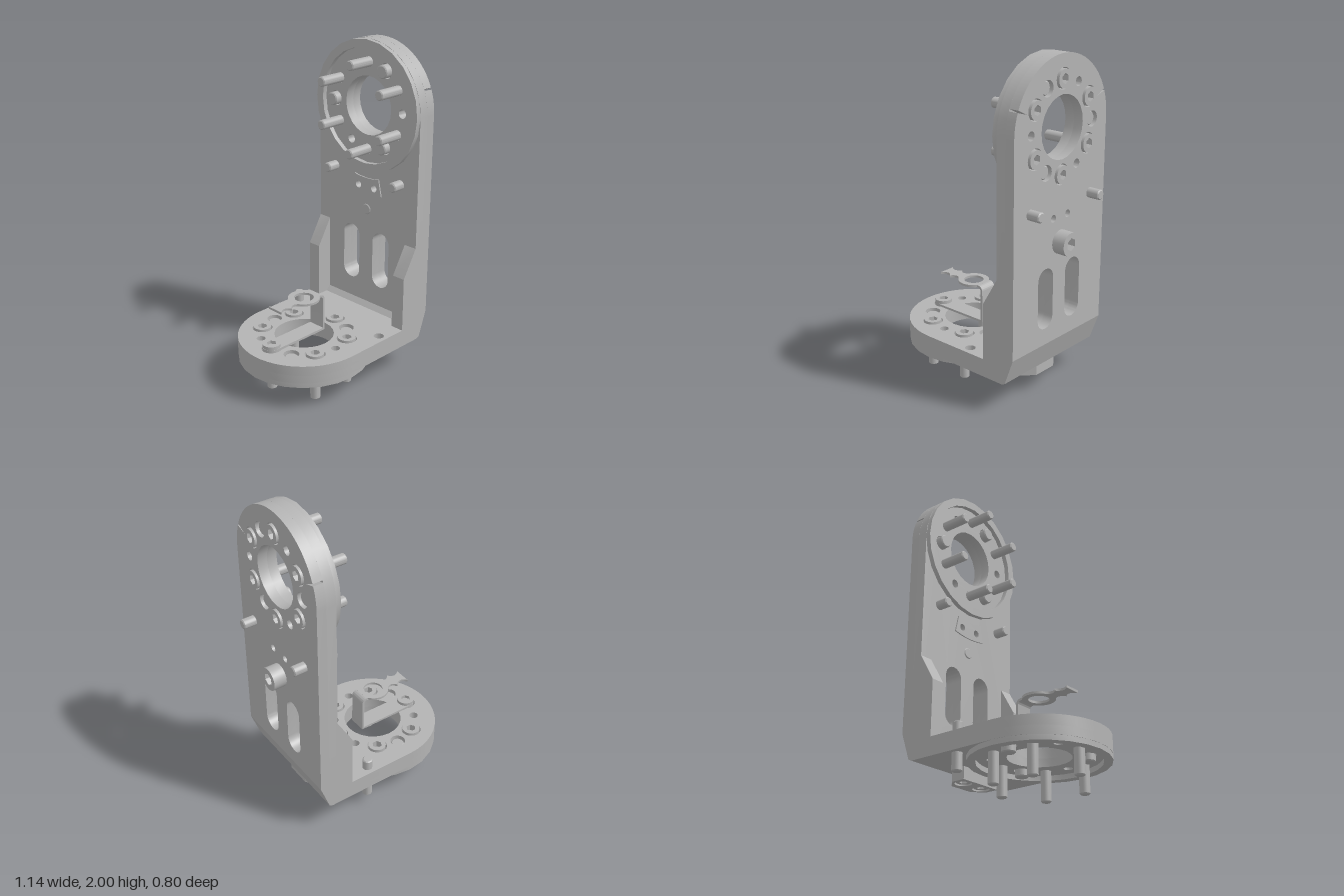
import * as THREE from 'three';
import { toCreasedNormals } from 'three/addons/utils/BufferGeometryUtils.js';

const steel = new THREE.MeshStandardMaterial({ color: 0xb3b3b3 });
steel.name = 'machinedGrey';

const CIRCLE_R = 0.265; // bolt circle
const polar = (deg, r = CIRCLE_R) => [r * Math.cos(deg * Math.PI / 180), r * Math.sin(deg * Math.PI / 180)];

function add(parent, name, geometry) {
  const mesh = new THREE.Mesh(geometry, steel);
  mesh.name = name;
  parent.add(mesh);
  return mesh;
}

// Extrude a shape from z0 to z1 with sharp edges kept
function slab(shape, z0, z1) {
  const g = new THREE.ExtrudeGeometry(shape, { depth: z1 - z0, bevelEnabled: false, curveSegments: 12 });
  g.translate(0, 0, z0);
  return toCreasedNormals(g, 0.5);
}

const polygon = (pts) => new THREE.Shape(pts.map(([x, y]) => new THREE.Vector2(x, y)));

function circle(x, y, r, Type = THREE.Path) {
  const p = new Type();
  p.absarc(x, y, r, 0, Math.PI * 2, false);
  return p;
}

function slot(x, y0, y1, r) {
  const p = new THREE.Path();
  p.absarc(x, y1 - r, r, 0, Math.PI, false);
  p.absarc(x, y0 + r, r, Math.PI, Math.PI * 2, false);
  p.closePath();
  return p;
}

// Round pin along z
function pin(parent, name, x, y, r, z0, z1) {
  const c = 0.006;
  const profile = [[0, z0], [r - c, z0], [r, z0 + c], [r, z1 - c], [r - c, z1], [0, z1]];
  const g = new THREE.LatheGeometry(profile.map(([a, b]) => new THREE.Vector2(a, b)), 20);
  g.rotateX(Math.PI / 2);
  g.scale(1, 1, 1);
  return add(parent, name, toCreasedNormals(g, 0.5)).position.set(x, y, 0);
}

// Socket-head bolt along z, head between z0 and z1, shaft down to zTip
function bolt(parent, x, y, r, z0, z1, zTip, shaftR = 0.03) {
  const b = new THREE.Group();
  b.name = 'socketBolt';
  b.position.set(x, y, 0);
  parent.add(b);
  const head = circle(0, 0, r, THREE.Shape);
  const hex = [];
  for (let i = 0; i < 6; i++) hex.push(new THREE.Vector2(...polar(i * 60 + 30, r * 0.55)));
  head.holes.push(new THREE.Path(hex));
  add(b, 'boltHead', slab(head, z0, z1));
  add(b, 'socketFloor', slab(circle(0, 0, r * 0.95, THREE.Shape), z0, z0 + (z1 - z0) * 0.4));
  if (zTip < z0) pin(b, 'boltShaft', 0, 0, shaftR, zTip, z0 + 0.01);
}

// Plate outline: round end about the origin, straight sides down to -length
function outline(length, notched) {
  const s = new THREE.Shape();
  s.moveTo(-0.4, -length);
  s.lineTo(0.4, -length);
  const arc = (a, b) => s.absarc(0, 0, 0.4, a, b, false);
  if (notched) {
    const a = 0.38, d = 0.016;
    arc(0, a - d);
    s.lineTo(...polar(a * 180 / Math.PI, 0.325));
    arc(a + d, Math.PI - a - d);
    s.lineTo(...polar(180 - a * 180 / Math.PI, 0.325));
    arc(Math.PI - a + d, Math.PI);
  } else arc(0, Math.PI);
  s.closePath();
  return s;
}

// Mounting flange: bolt-head face at z = 0, round rim on the far side
function flange(name, { length, thick, rim, notched, extraHoles, raised }) {
  const g = new THREE.Group();
  g.name = name;
  const counterbore = 0.06;
  for (const upper of [true, false]) {
    const s = outline(length, upper && notched);
    s.holes.push(circle(0, 0, 0.18), ...extraHoles());
    for (let i = 0; i < 6; i++) {
      s.holes.push(circle(...polar(90 + 60 * i), upper ? 0.061 : 0.031));
      s.holes.push(circle(...polar(60 * i), i % 2 ? 0.027 : 0.046));
    }
    add(g, upper ? 'outerPlate' : 'innerPlate',
      slab(s, upper ? -counterbore : -thick, upper ? 0 : -counterbore));
  }
  const ring = circle(0, 0, 0.4, THREE.Shape);
  ring.holes.push(circle(0, 0, 0.35));
  add(g, 'rim', slab(ring, -rim, -thick));
  for (let i = 0; i < 6; i++) {
    const [x, y] = polar(90 + 60 * i);
    if (raised && i === 0) bolt(g, x, y, 0.054, -0.045, 0.035, -0.26);
    else bolt(g, x, y, 0.054, -counterbore, 0.012, -0.29);
  }
  for (const a of [0, 120, 240]) pin(g, 'dowel', ...polar(a), 0.04, -rim - 0.01, -0.015);
  return g;
}

export function createModel() {
  const model = new THREE.Group();
  model.name = 'angleBracket';

  // Upright flange
  const upright = flange('upright', {
    length: 1.25, thick: 0.12, rim: 0.15, notched: true,
    extraHoles: () => [-1, 1].flatMap((s) => [slot(s * 0.121, -1.15, -0.785, 0.066), circle(s * 0.063, -0.505, 0.022)]),
  });
  for (const s of [-1, 1]) pin(upright, 'locatingPin', s * 0.265, -0.43, 0.03, -0.2, 0.08);
  bolt(upright, 0, -0.655, 0.07, 0, 0.08, -0.125, 0.035);
  const pad = new THREE.Shape();
  const a0 = Math.PI * 1.5 - 0.22, a1 = Math.PI * 1.5 + 0.22;
  pad.absarc(0, 0, 0.56, a0, a1, false);
  pad.absarc(0, 0, 0.45, a1, a0, true);
  pad.closePath();
  for (const s of [-1, 1]) pad.holes.push(circle(s * 0.063, -0.505, 0.022));
  add(upright, 'arcPad', slab(pad, -0.128, -0.12));
  upright.rotation.y = Math.PI / 2;
  upright.position.set(0.49, 1.6, 0);
  model.add(upright);

  // Base flange
  const base = flange('base', {
    length: 0.44, thick: 0.11, rim: 0.14, raised: true,
    extraHoles: () => [circle(-0.345, -0.29, 0.031)],
  });
  pin(base, 'locatingPin', 0.345, -0.29, 0.03, -0.215, 0.065);
  base.setRotationFromMatrix(new THREE.Matrix4().makeBasis(
    new THREE.Vector3(0, 0, -1), new THREE.Vector3(-1, 0, 0), new THREE.Vector3(0, 1, 0)));
  base.position.set(-0.17, 0.29, 0);
  model.add(base);

  // Corner joining the flanges, and side gussets
  add(model, 'corner', slab(polygon([[0.27, 0.18], [0.41, 0.18], [0.432, 0.19], [0.49, 0.35], [0.37, 0.35],
    [0.37, 0.32], [0.34, 0.29], [0.27, 0.29]]), -0.4, 0.4));
  const gusset = polygon([[0.27, 0.28], [0.38, 0.28], [0.38, 0.81], [0.37, 0.8], [0.27, 0.63]]);
  add(model, 'gussetLeft', slab(gusset, 0.315, 0.4));
  add(model, 'gussetRight', slab(gusset, -0.4, -0.315));

  // Stop block under the corner, with two bolts facing down
  const stop = new THREE.Group();
  stop.name = 'stopBlock';
  const block = polygon([[-0.075, -0.145], [0.01, -0.145], [0.075, -0.08], [0.075, 0.08], [0.01, 0.145], [-0.075, 0.145]]);
  for (const s of [-1, 1]) {
    block.holes.push(circle(-0.01, s * 0.075, 0.05));
    bolt(stop, -0.01, s * 0.075, 0.044, 0, 0.068, 0);
  }
  add(stop, 'block', slab(block, 0, 0.075));
  stop.rotation.x = Math.PI / 2;
  stop.position.set(0.325, 0.18, 0);
  model.add(stop);

  // Bent sheet clip: foot, riser and top strip with an eye
  const clip = new THREE.Group();
  clip.name = 'clip';
  model.add(clip);
  const foot = new THREE.Shape();
  foot.moveTo(-0.05, -0.055);
  foot.lineTo(-0.05, 0.055);
  foot.lineTo(-0.435, 0.055);
  foot.absarc(-0.435, 0, 0.055, Math.PI / 2, Math.PI * 1.5, false);
  foot.closePath();
  const w = 0.055, t = Math.asin(w / 0.095);
  const strip = new THREE.Shape();
  strip.moveTo(-0.4, w);
  strip.quadraticCurveTo(-0.36, 0.005, -0.32, w);
  strip.quadraticCurveTo(-0.285, 0.005, -0.17 - 0.095 * Math.cos(t), w);
  strip.absarc(-0.17, 0, 0.095, Math.PI - t, t, true);
  strip.lineTo(-0.08, w);
  strip.lineTo(-0.08, -w);
  strip.lineTo(-0.17 + 0.095 * Math.cos(t), -w);
  strip.absarc(-0.17, 0, 0.095, -t, -Math.PI + t, true);
  strip.quadraticCurveTo(-0.285, -0.005, -0.32, -w);
  strip.quadraticCurveTo(-0.36, -0.005, -0.4, -w);
  strip.closePath();
  strip.holes.push(circle(-0.17, 0, 0.06));
  add(clip, 'foot', slab(foot, 0.291, 0.305).rotateX(-Math.PI / 2));
  add(clip, 'topStrip', slab(strip, 0.516, 0.53).rotateX(-Math.PI / 2));
  const riser = new THREE.Shape();
  riser.moveTo(-0.064, 0.295);
  riser.lineTo(-0.05, 0.295);
  riser.lineTo(-0.05, 0.495);
  riser.absarc(-0.085, 0.495, 0.035, 0, Math.PI / 2, false);
  riser.lineTo(-0.085, 0.516);
  riser.absarc(-0.085, 0.495, 0.021, Math.PI / 2, 0, true);
  riser.closePath();
  add(clip, 'riser', slab(riser, -w, w));

  return model;
}
